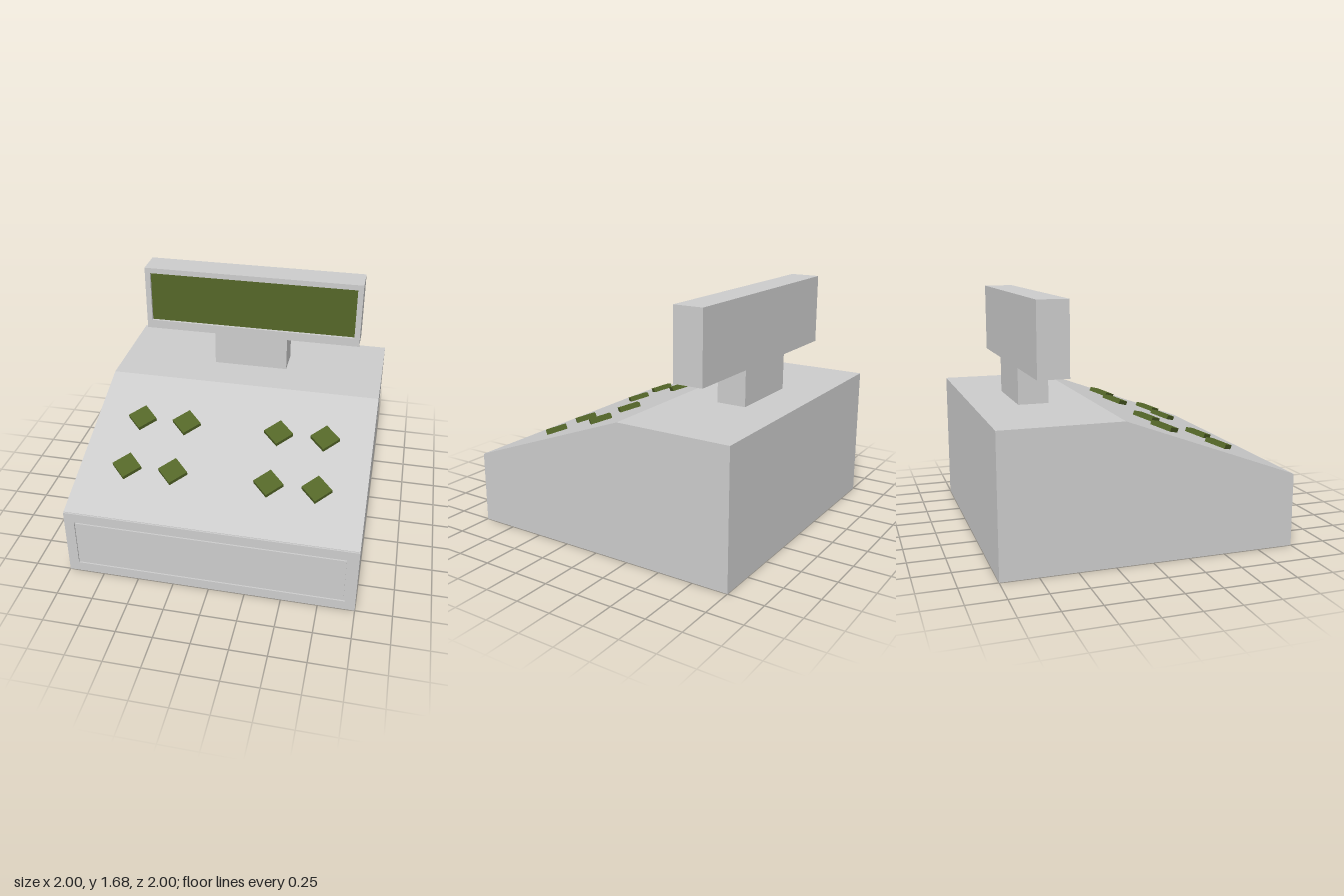
import * as THREE from 'three';

const grey = new THREE.MeshStandardMaterial({ color: 0xcccccc });
const green = new THREE.MeshStandardMaterial({ color: 0x546628 });

function add(parent, name, geometry, material = grey) {
  const mesh = new THREE.Mesh(geometry, material);
  mesh.name = name;
  parent.add(mesh);
  return mesh;
}

function box(parent, name, [x0, x1], [y0, y1], [z0, z1], material) {
  const mesh = add(parent, name, new THREE.BoxGeometry(x1 - x0, y1 - y0, z1 - z0), material);
  mesh.position.set((x0 + x1) / 2, (y0 + y1) / 2, (z0 + z1) / 2);
  return mesh;
}

// Rectangular plate with a rectangular opening, from z0 to z1
function frame(parent, name, outer, inner, z0, z1) {
  const corners = ([x0, x1, y0, y1]) =>
    [[x0, y0], [x1, y0], [x1, y1], [x0, y1]].map(([x, y]) => new THREE.Vector2(x, y));
  const shape = new THREE.Shape(corners(outer));
  shape.holes.push(new THREE.Path(corners(inner).reverse()));
  const geometry = new THREE.ExtrudeGeometry(shape, { depth: z1 - z0, bevelEnabled: false });
  return add(parent, name, geometry.translate(0, 0, z0));
}

export function createModel() {
  const model = new THREE.Group();
  model.name = 'cashRegister';

  // Body: side profile (z, y) swept across the width
  const frontY = 0.5, topY = 0.94, ridgeZ = -0.19, faceZ = 0.99;
  const slope = (topY - frontY) / (1 - ridgeZ);
  const profile = new THREE.Shape([
    [-1, 0], [faceZ, 0], [faceZ, frontY + slope * (1 - faceZ)], [ridgeZ, topY], [-1, topY],
  ].map(([z, y]) => new THREE.Vector2(z, y)));
  const body = new THREE.ExtrudeGeometry(profile, { depth: 2, bevelEnabled: false });
  add(model, 'body', body.rotateY(-Math.PI / 2).translate(1, 0, 0));

  // Drawer front, separated from the surround by a thin groove
  frame(model, 'drawerSurround', [-1, 1, 0, frontY], [-0.93, 0.93, 0.07, 0.43], faceZ, 1);
  box(model, 'drawerFront', [-0.92, 0.92], [0.08, 0.42], [faceZ - 0.01, 1]);

  // Diamond keys lying on the sloped panel
  const keys = new THREE.Group();
  keys.name = 'keys';
  model.add(keys);
  const tilt = Math.atan(slope);
  const keyMaterial = green.clone();
  keyMaterial.flatShading = true;
  for (const z of [0.205, 0.605]) {
    for (const x of [-0.665, -0.335, 0.335, 0.665]) {
      const key = add(keys, 'key', new THREE.CylinderGeometry(0.104, 0.104, 0.03, 4), keyMaterial);
      key.rotation.x = tilt;
      key.position.set(x, frontY + slope * (1 - z) + 0.016, z);
    }
  }

  // Neck and display
  box(model, 'neck', [-0.28, 0.275], [topY - 0.01, 1.19], [-0.7, -0.49]);
  const display = new THREE.Group();
  display.name = 'display';
  model.add(display);
  box(display, 'displayHousing', [-0.815, 0.815], [1.19, 1.68], [-0.7, -0.52]);
  frame(display, 'displayBezel', [-0.815, 0.815, 1.19, 1.68], [-0.775, 0.775, 1.255, 1.64], -0.52, -0.49);
  box(display, 'screen', [-0.775, 0.775], [1.255, 1.64], [-0.53, -0.51], green);

  return model;
}
